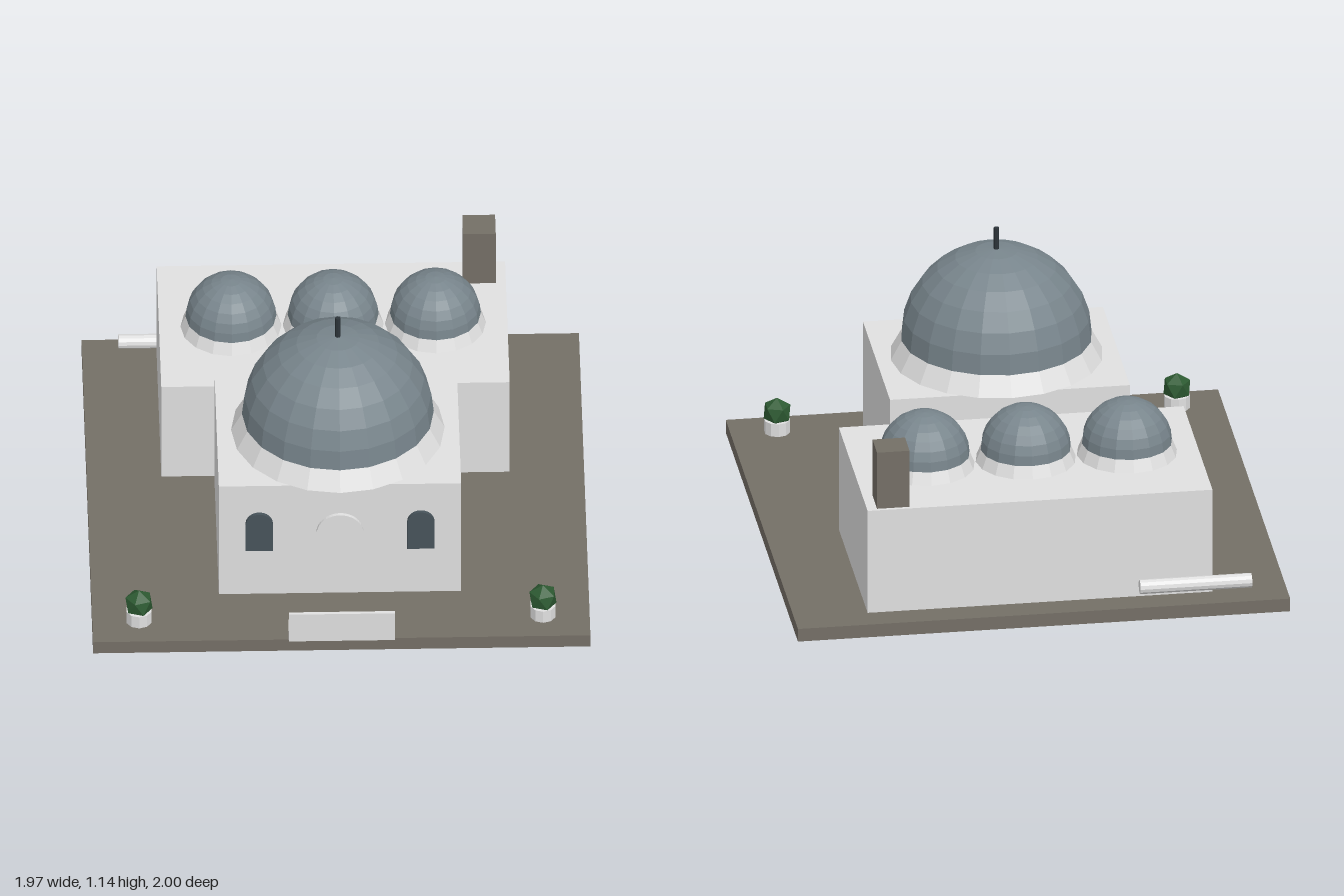
import * as THREE from 'three';

const mat = (name, color) => {
  const m = new THREE.MeshStandardMaterial({ color });
  m.name = name;
  m.flatShading = true;
  return m;
};

export function createModel() {
  const group = new THREE.Group();
  const plaster = mat('plaster', 0xe0e0e0);
  const stone = mat('stone', 0x746f66);
  const slate = mat('slate', 0x78858c);
  const dark = mat('darkGlass', 0x47535a);
  const iron = mat('iron', 0x2c3439);
  const leaf = mat('leaf', 0x2d5a32);

  const add = (name, geometry, material, x = 0, y = 0, z = 0) => {
    const mesh = new THREE.Mesh(geometry, material);
    mesh.name = name;
    mesh.position.set(x, y, z);
    group.add(mesh);
    return mesh;
  };
  // Box from its minimum and maximum on each axis
  const box = (name, material, x0, x1, y0, y1, z0, z1) =>
    add(name, new THREE.BoxGeometry(x1 - x0, y1 - y0, z1 - z0), material,
      (x0 + x1) / 2, (y0 + y1) / 2, (z0 + z1) / 2);
  // Flared drum with a faceted hemisphere on top
  const dome = (name, x, y, z, rBase, r, h, sides, rings) => {
    add(name + 'Drum', new THREE.CylinderGeometry(r, rBase, h, sides), plaster, x, y + h / 2, z);
    add(name, new THREE.SphereGeometry(r, sides, rings, 0, Math.PI * 2, 0, Math.PI / 2),
      slate, x, y + h, z);
  };
  // Round-topped plate standing on the front wall
  const arch = (name, material, x, y0, y1, w, z) => {
    const r = w / 2, s = new THREE.Shape();
    s.moveTo(-r, 0);
    s.lineTo(r, 0);
    s.lineTo(r, y1 - y0 - r);
    s.absarc(0, y1 - y0 - r, r, 0, Math.PI, false);
    s.closePath();
    add(name, new THREE.ExtrudeGeometry(s, { depth: 0.015, bevelEnabled: false, curveSegments: 10 }),
      material, x, y0, z);
  };

  // Ground slab and the two halls
  box('groundSlab', stone, -0.985, 0.985, 0, 0.055, -1, 0.978);
  box('frontHall', plaster, -0.48, 0.48, 0.055, 0.59, -0.065, 0.675);
  box('backHall', plaster, -0.69, 0.69, 0.055, 0.5, -0.89, -0.1);
  box('chimney', stone, 0.52, 0.65, 0.5, 0.745, -0.875, -0.75);

  // Domes
  dome('mainDome', 0, 0.59, 0.305, 0.423, 0.38, 0.08, 20, 7);
  add('finial', new THREE.CylinderGeometry(0.011, 0.011, 0.11, 8), iron, 0, 1.085, 0.305);
  for (const x of [-0.405, 0, 0.405])
    dome('smallDome', x, 0.5, -0.495, 0.2, 0.18, 0.05, 16, 7);

  // Door and windows
  arch('door', plaster, 0, 0.07, 0.45, 0.187, 0.675);
  for (const x of [-0.32, 0.32]) arch('window', dark, x, 0.28, 0.46, 0.108, 0.677);

  // Bench by the front edge
  box('benchSeat', plaster, -0.21, 0.21, 0.055, 0.098, 0.905, 0.985);
  box('benchBack', plaster, -0.21, 0.21, 0.062, 0.195, 0.985, 1);

  // Potted bushes
  for (const x of [-0.8, 0.8]) {
    add('pot', new THREE.CylinderGeometry(0.052, 0.052, 0.055, 10), plaster, x, 0.0825, 0.84);
    const bush = new THREE.IcosahedronGeometry(0.06, 0);
    bush.rotateZ(Math.atan(2 / (1 + Math.sqrt(5))));
    add('bush', bush, leaf, x, 0.143, 0.84);
  }

  // Pipe along the back wall
  const pipe = new THREE.CylinderGeometry(0.029, 0.029, 0.447, 12);
  pipe.rotateZ(Math.PI / 2);
  add('pipe', pipe, plaster, -0.618, 0.108, -0.918);

  return group;
}
